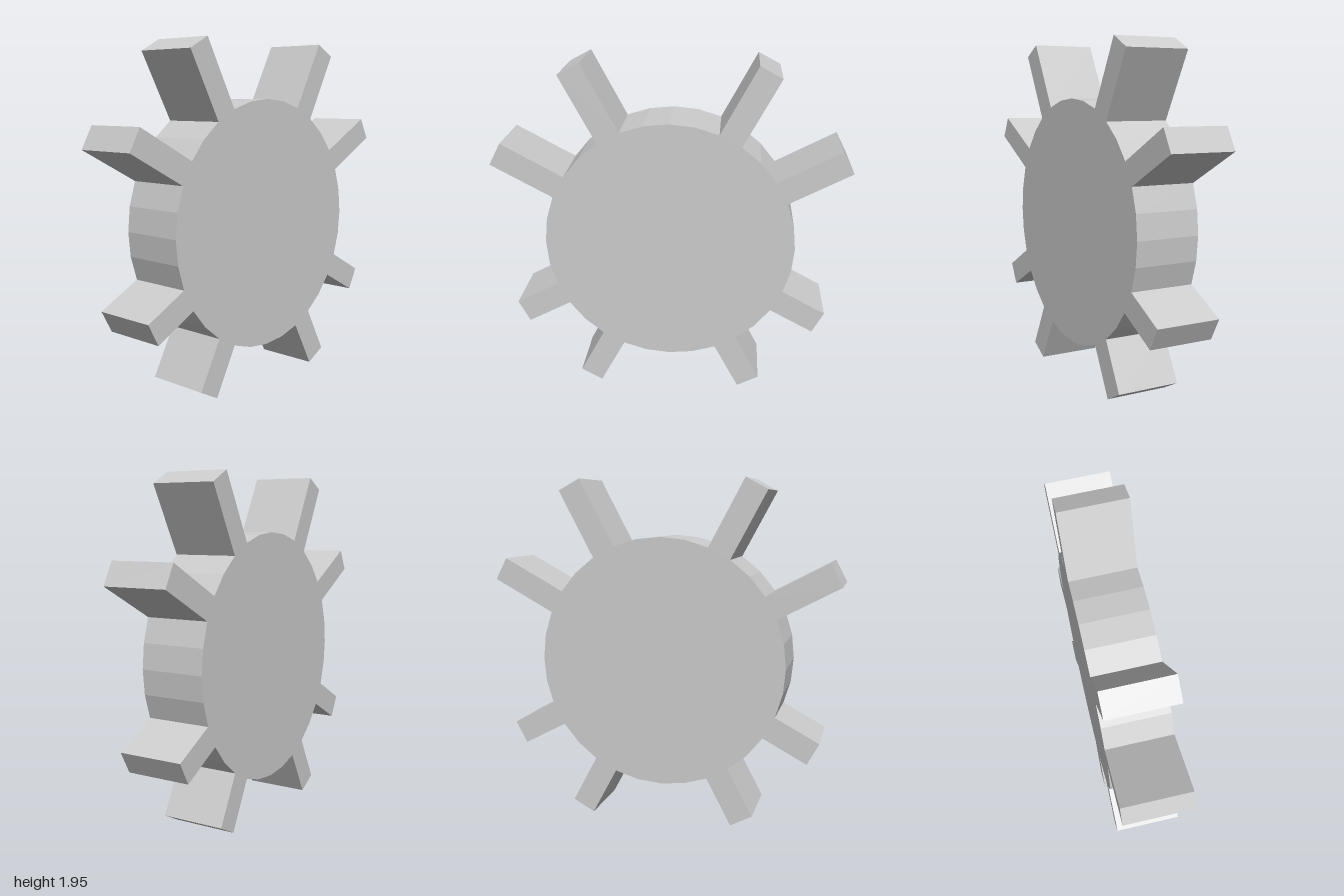
import * as THREE from 'three';

const SIDES = 32, RADIUS = 0.71, DEPTH = 0.375, CENTRE_Y = 0.924;

// Distance from the hub centre to each spoke's tip, keyed by the rim facet it grows from
const rightSpokes = { 2: 1.097, 5: 1.131, 26: 1.01, 29: 0.986 };

export function createModel() {
  const group = new THREE.Group();
  group.name = 'spokedWheel';

  // Mirror the spokes to the other half
  const spokes = { ...rightSpokes };
  for (const [facet, tip] of Object.entries(rightSpokes)) {
    spokes[(15 - Number(facet) + SIDES) % SIDES] = tip;
  }

  // Walk round the faceted rim, pushing the spoke facets straight outwards
  const step = (Math.PI * 2) / SIDES;
  const apothem = RADIUS * Math.cos(step / 2);
  const rimPoint = (i) => new THREE.Vector2(Math.cos(i * step), Math.sin(i * step)).multiplyScalar(RADIUS);
  const outline = [];
  for (let i = 0; i < SIDES; i++) {
    outline.push(rimPoint(i));
    if (spokes[i]) {
      const mid = (i + 0.5) * step;
      const push = new THREE.Vector2(Math.cos(mid), Math.sin(mid)).multiplyScalar(spokes[i] - apothem);
      outline.push(rimPoint(i).add(push), rimPoint(i + 1).add(push));
    }
  }

  // Hub and spokes are one flat-sided slab
  const geometry = new THREE.ExtrudeGeometry(new THREE.Shape(outline), { depth: DEPTH, bevelEnabled: false });
  geometry.translate(0, CENTRE_Y, -DEPTH / 2);
  const wheel = new THREE.Mesh(geometry, new THREE.MeshStandardMaterial({ color: 0xcccccc, flatShading: true }));
  wheel.name = 'hubWithSpokes';
  group.add(wheel);
  return group;
}
